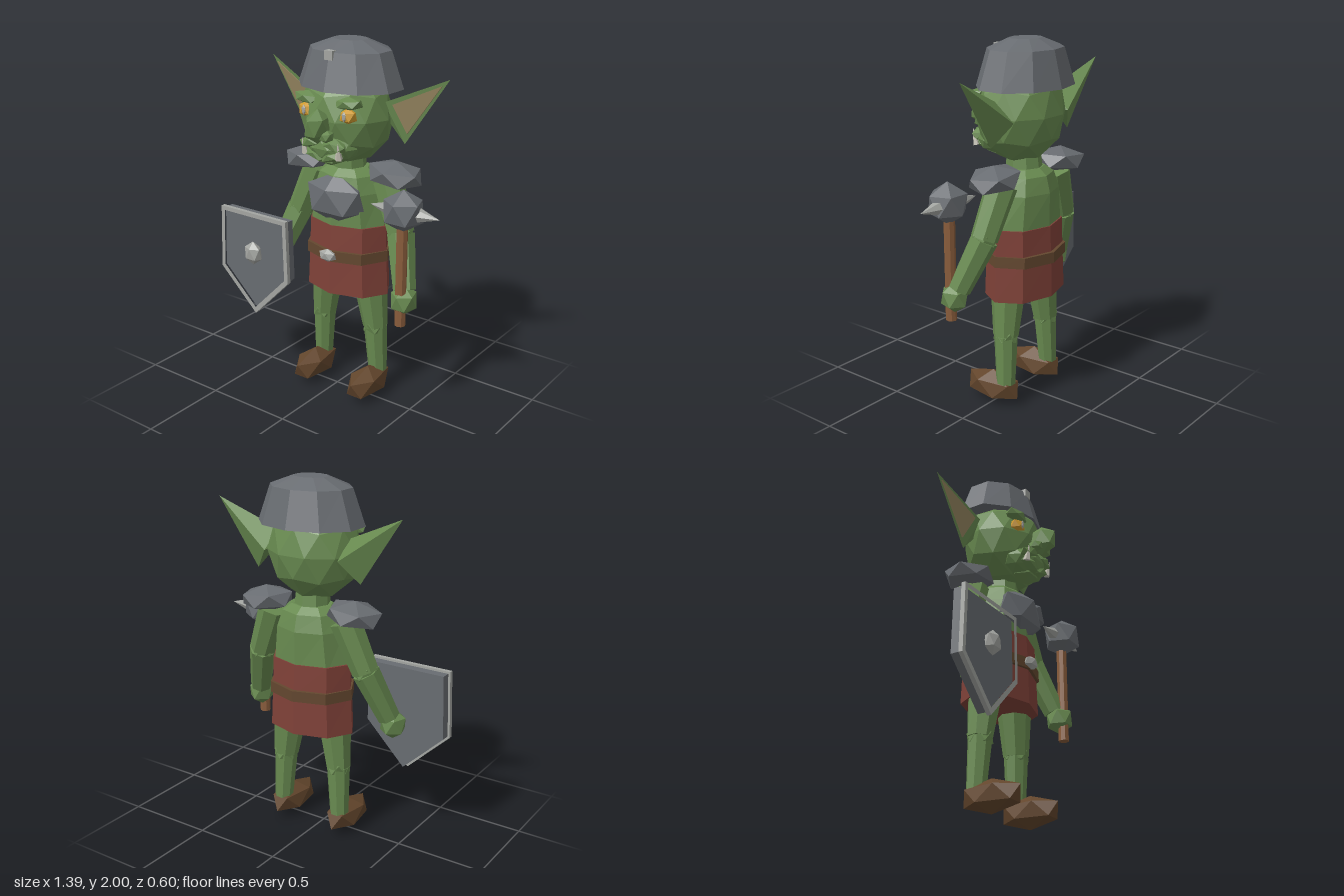
import * as THREE from 'three';
import { ConvexGeometry } from 'three/addons/geometries/ConvexGeometry.js';

const material = (name, color) => {
  const m = new THREE.MeshStandardMaterial({ color });
  m.name = name;
  return m;
};

export function createModel() {
  const skin = material('green skin', 0x688a50);
  const steel = material('dark steel', 0x686c71);
  const bright = material('bright steel', 0xa3a5a1);
  const cloth = material('red cloth', 0x7f4138);
  const leather = material('belt leather', 0x63472f);
  const boot = material('boot leather', 0x63462c);
  const wood = material('wood', 0x8a5d3c);
  const gold = material('amber eye', 0xcf9a30);
  const earInside = material('inner ear', 0x95855f);
  const bone = material('bone', 0xc2bfb2);

  const root = new THREE.Group();
  root.name = 'goblinWarrior';
  const body = new THREE.Group();
  body.name = 'body';
  body.position.x = 0.035;
  root.add(body);

  // One flat normal per face
  const flat = (g) => {
    const f = g.index ? g.toNonIndexed() : g;
    f.computeVertexNormals();
    return f;
  };
  const add = (name, geometry, mat, pos = [0, 0, 0], parent = body) => {
    const mesh = new THREE.Mesh(flat(geometry), mat);
    mesh.name = name;
    mesh.position.set(...pos);
    parent.add(mesh);
    return mesh;
  };
  // Faceted ellipsoid standing on one of its corners
  const upright = -Math.atan((1 + Math.sqrt(5)) / 2);
  const blob = (name, mat, pos, size, detail = 0, roll = 0, parent = body) => {
    const g = new THREE.IcosahedronGeometry(1, detail);
    g.rotateX(upright);
    g.scale(...size);
    g.rotateZ(roll);
    return add(name, g, mat, pos, parent);
  };
  // Stacked elliptical rings: [y, radiusX, radiusZ]
  const loft = (name, mat, rings, sides, pos, turn = 0) => {
    const p = [], index = [], n = rings.length;
    for (const [y, rx, rz] of rings) {
      for (let j = 0; j < sides; j++) {
        const a = (j / sides) * Math.PI * 2 + turn;
        p.push(Math.cos(a) * rx, y, Math.sin(a) * rz);
      }
    }
    for (let i = 0; i < n - 1; i++) {
      for (let j = 0; j < sides; j++) {
        const k = (j + 1) % sides, a = i * sides, b = a + sides;
        index.push(a + j, b + j, a + k, b + j, b + k, a + k);
      }
    }
    const top = (n - 1) * sides;
    for (let j = 1; j < sides - 1; j++) {
      index.push(0, j, j + 1, top, top + j + 1, top + j);
    }
    const g = new THREE.BufferGeometry();
    g.setAttribute('position', new THREE.Float32BufferAttribute(p, 3));
    g.setIndex(index);
    return add(name, g, mat, pos);
  };
  // Tapered rod from a to b
  const rod = (name, mat, a, b, ra, rb, sides = 7) => {
    const from = new THREE.Vector3(...a), to = new THREE.Vector3(...b);
    const g = new THREE.CylinderGeometry(rb, ra, from.distanceTo(to), sides);
    const mesh = add(name, g, mat);
    mesh.position.copy(from).add(to).multiplyScalar(0.5);
    mesh.quaternion.setFromUnitVectors(new THREE.Vector3(0, 1, 0), to.sub(from).normalize());
    return mesh;
  };

  // Torso and clothing
  loft('torso', skin, [[0.98, 0.238, 0.165], [1.2, 0.208, 0.168], [1.29, 0.172, 0.145],
    [1.325, 0.12, 0.1]], 8, [0, 0, -0.06]);
  rod('neck', skin, [0, 1.28, -0.06], [0, 1.42, -0.05], 0.1, 0.09, 8);
  loft('skirt', cloth, [[0.625, 0.262, 0.184], [0.85, 0.248, 0.178], [1.02, 0.245, 0.17]],
    8, [0, 0, -0.062]);
  loft('belt', leather, [[0.82, 0.257, 0.198], [0.88, 0.255, 0.198]], 8, [0, 0, -0.062]);
  blob('beltBuckle', bright, [0, 0.855, 0.135], [0.058, 0.038, 0.032]);
  blob('breastplate', steel, [0, 1.163, 0.06], [0.196, 0.145, 0.11]);

  // Head and face
  blob('head', skin, [0, 1.61, -0.035], [0.264, 0.268, 0.224], 1);
  blob('muzzle', skin, [0, 1.465, 0.09], [0.158, 0.09, 0.115], 1);
  blob('chin', skin, [0, 1.41, 0.1], [0.09, 0.055, 0.078]);
  blob('nose', skin, [0, 1.59, 0.215], [0.06, 0.092, 0.095]);
  for (const s of [-1, 1]) {
    blob('nostril', skin, [s * 0.045, 1.54, 0.2], [0.038, 0.035, 0.045]);
    blob('upperLip', skin, [s * 0.07, 1.492, 0.17], [0.085, 0.036, 0.045], 0, -s * 0.25);
    blob('lowerLip', skin, [s * 0.05, 1.425, 0.16], [0.08, 0.03, 0.045], 0, s * 0.3);
    rod('fang', bone, [s * 0.108, 1.425, 0.18], [s * 0.116, 1.515, 0.2], 0.022, 0, 5);
    blob('eye', gold, [s * 0.129, 1.645, 0.13], [0.055, 0.046, 0.046]);
    blob('pupil', bright, [s * 0.129, 1.647, 0.166], [0.014, 0.028, 0.008]);
    blob('brow', skin, [s * 0.13, 1.708, 0.125], [0.09, 0.036, 0.055], 0, s * 0.08);

    // Ear with a thin inner panel
    const v = (x, y, z) => new THREE.Vector3(s * x, y, z);
    const rim = [v(0.57, 1.845, -0.115), v(0.325, 1.48, -0.1), v(0.225, 1.695, -0.05)];
    add('ear', new ConvexGeometry([...rim, v(0.23, 1.6, -0.17), v(0.2, 1.62, -0.09)]), skin);
    const mid = v(0.38, 1.672, -0.088);
    const inner = rim.map((q) => q.clone().lerp(mid, 0.3));
    inner[0].copy(rim[0]).lerp(mid, 0.2);
    const shifted = (dz) => inner.map((q) => q.clone().add(new THREE.Vector3(0, 0, dz)));
    add('innerEar', new ConvexGeometry([...shifted(0.006), ...shifted(-0.003)]), earInside);
  }

  // Helmet with a front stud
  loft('helmet', steel, [[1.755, 0.303, 0.231], [1.95, 0.231, 0.182], [2.0, 0.097, 0.08]],
    10, [0, 0, -0.066], Math.PI / 2);
  add('helmetStud', new THREE.BoxGeometry(0.05, 0.048, 0.045), bright, [0, 1.937, 0.105]);

  // Arms, shoulders, legs and boots
  for (const s of [-1, 1]) {
    const shoulder = [s * 0.23, 1.27, -0.09], elbow = [s * 0.34, 1.0, -0.06];
    const wrist = [s * 0.432, 0.73, 0.035];
    blob('pauldron', steel, [s * 0.28, 1.312, -0.085], [0.168, 0.074, 0.14], 0, -s * 0.1);
    rod('upperArm', skin, shoulder, elbow, 0.085, 0.074);
    blob('elbow', skin, elbow, [0.078, 0.072, 0.074]);
    rod('forearm', skin, elbow, wrist, 0.076, 0.062);
    blob('hand', skin, [s * 0.445, 0.685, 0.058], [0.077, 0.085, 0.083]);
    const hip = [s * 0.14, 0.72, -0.06], knee = [s * 0.178, 0.41, -0.07];
    rod('thigh', skin, hip, knee, 0.1, 0.07, 8);
    blob('knee', skin, knee, [0.073, 0.06, 0.08]);
    rod('shin', skin, knee, [s * 0.192, 0.13, -0.08], 0.066, 0.053, 8);
    blob('boot', boot, [s * 0.188, 0.093, 0.011], [0.092, 0.092, 0.187]);
  }

  // Mace in the left hand
  rod('maceHandle', wood, [0.442, 0.55, 0.085], [0.442, 1.15, 0.085], 0.03, 0.03, 8);
  blob('maceHead', steel, [0.447, 1.193, 0.088], [0.12, 0.115, 0.11]);
  for (const s of [-1, 1]) {
    rod('maceSpike', bright, [0.447 + s * 0.08, 1.187, 0.08], [0.447 + s * 0.21, 1.187, 0.08],
      0.04, 0, 6);
  }

  // Shield on the right arm
  const shield = new THREE.Group();
  shield.name = 'shield';
  shield.position.set(-0.452, 0.77, 0);
  root.add(shield);
  const outline = [[-0.232, 0.235], [0.24, 0.235], [0.25, -0.13], [0.005, -0.378], [-0.246, -0.14]];
  const corners = (k) => outline.map(([x, y]) => new THREE.Vector2(x * k, y * k));
  const slab = (shape, depth) => new THREE.ExtrudeGeometry(shape, { depth, bevelEnabled: false });
  add('shieldBody', slab(new THREE.Shape(corners(0.95)), 0.053), steel, [0, 0, 0.117], shield);
  const frame = new THREE.Shape(corners(1));
  frame.holes.push(new THREE.Path(corners(0.9)));
  add('shieldRim', slab(frame, 0.024), bright, [0, 0, 0.17], shield);
  add('shieldFace', slab(new THREE.Shape(corners(0.9)), 0.009), steel, [0, 0, 0.17], shield);
  blob('shieldBoss', bright, [0.005, 0, 0.2], [0.062, 0.07, 0.039], 0, 0, shield);

  return root;
}
